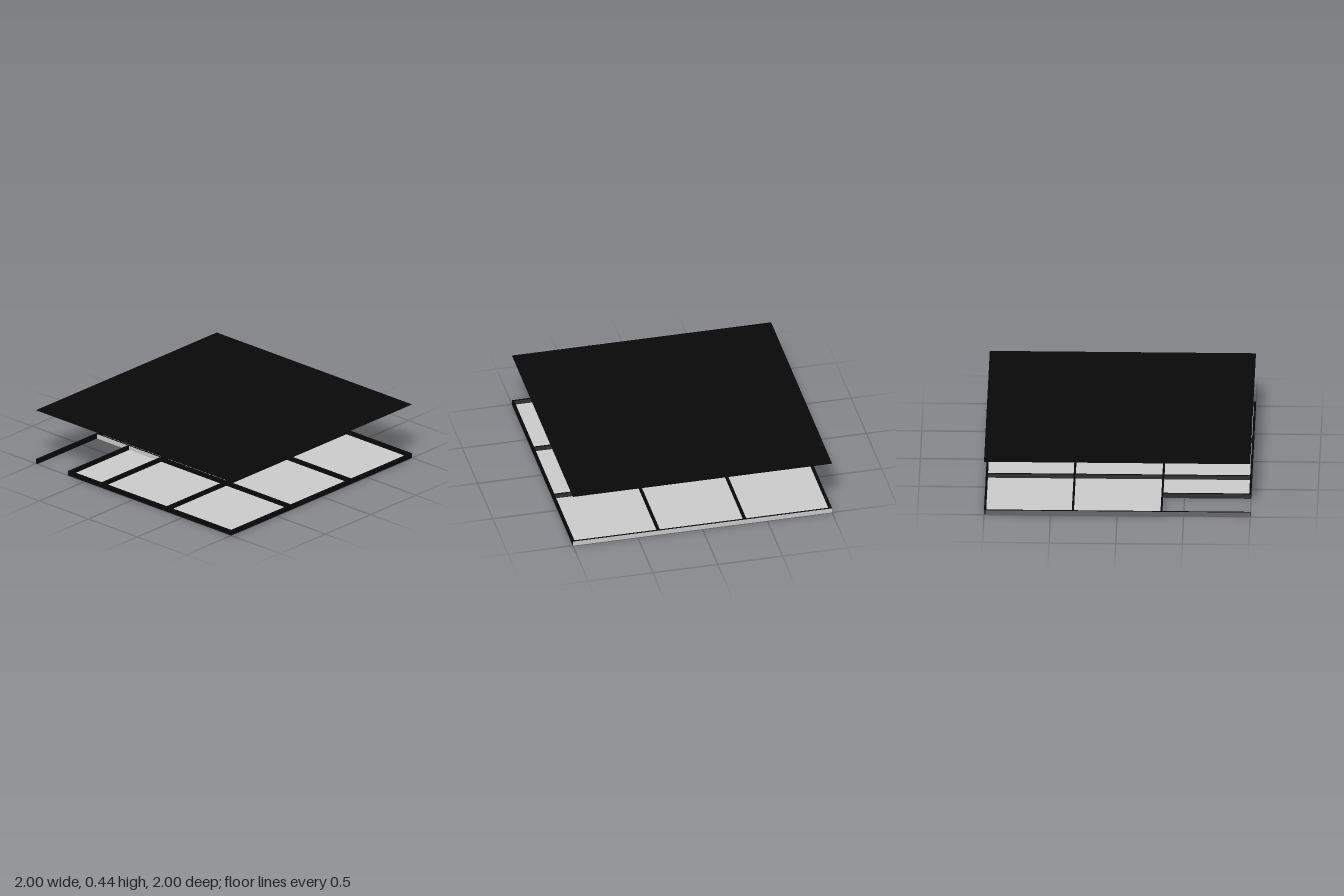
import * as THREE from 'three';

const H = 0.037;      // wall height
const T = 0.015;      // wall thickness
const FLOOR = 0.004;  // floor panel thickness
const ROOF_Y = 0.437;

const mat = (color) => new THREE.MeshStandardMaterial({ color });

export function createModel() {
  const group = new THREE.Group();
  const black = mat(0x080808), dim = mat(0x303030), mid = mat(0x666666), grey = mat(0xcccccc);

  // Box given by its x, y and z ranges
  const box = (name, x0, x1, y0, y1, z0, z1, material) => {
    const mesh = new THREE.Mesh(new THREE.BoxGeometry(x1 - x0, y1 - y0, z1 - z0), material);
    mesh.position.set((x0 + x1) / 2, (y0 + y1) / 2, (z0 + z1) / 2);
    mesh.name = name;
    group.add(mesh);
  };
  // Dark wall; faces are +x, -x, +y, -y, +z, -z
  const wall = (name, x0, x1, z0, z1, { left = dim, front = black, back = dim } = {}) =>
    box(name, x0, x1, 0, H, z0, z1, [black, left, black, black, front, back]);

  const h = T / 2, third = 1 / 3, notch = -0.67;

  // Outer walls; the front wall stops at the corner opening
  wall('backWall', -1, 1, -1, -1 + T, { back: grey });
  wall('frontWall', notch, 1, 1 - T, 1);
  wall('sideWall', 1 - T, 1, -1 + T, 1 - T);
  wall('openSideWall', -1, -1 + T, -1 + T, 1, { left: mid });

  // Partition walls between the rooms
  const bounds = [-1 + T, -third - h, -third + h, third - h, third + h, 1 - T];
  for (const p of [-third, third]) {
    wall('lengthPartition', p - h, p + h, -1 + T, 1 - T);
    for (let i = 0; i < 3; i++)
      wall('crossPartition', bounds[2 * i], bounds[2 * i + 1], p - h, p + h,
        { front: i === 0 && p > 0 ? grey : black });
  }
  // Wall beside the corner opening
  wall('openingWall', notch, notch + T, third + h, 1 - T);

  // Floor panels, the one by the opening being narrower
  for (let i = 0; i < 3; i++) {
    for (let j = 0; j < 3; j++) {
      const x0 = i === 0 && j === 2 ? notch + T : bounds[2 * i];
      box('floorPanel', x0, bounds[2 * i + 1], 0, FLOOR, bounds[2 * j], bounds[2 * j + 1], grey);
    }
  }

  // Thin roof sheet floating above
  const roofMaterial = mat(0x080808);
  roofMaterial.side = THREE.DoubleSide;
  const roof = new THREE.Mesh(new THREE.PlaneGeometry(2, 2).rotateX(-Math.PI / 2), roofMaterial);
  roof.position.y = ROOF_Y;
  roof.name = 'roofSheet';
  group.add(roof);

  return group;
}
